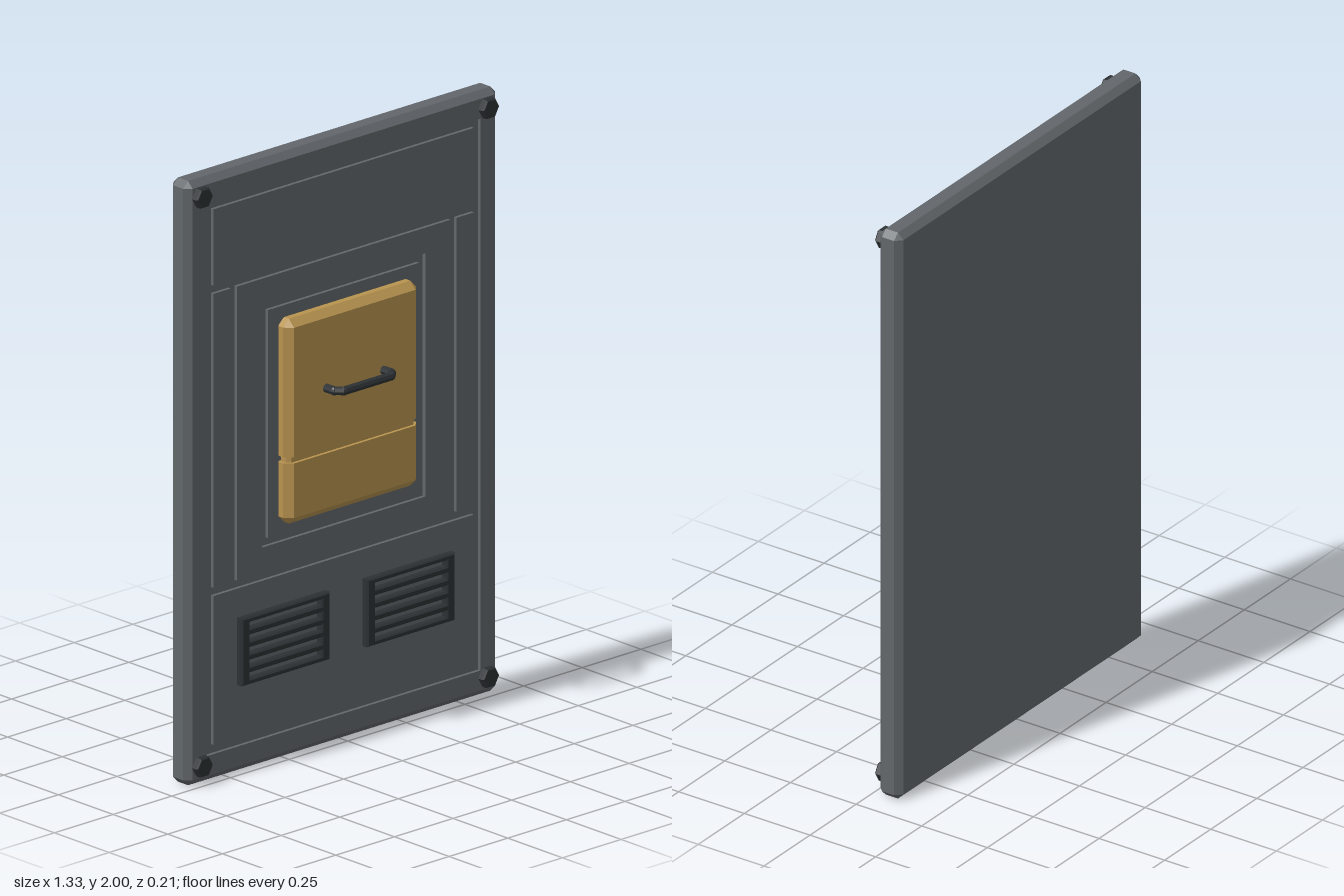
import * as THREE from 'three';

const mat = (color) => new THREE.MeshStandardMaterial({ color, flatShading: true });
const steel = mat(0x62676b), dark = mat(0x2d3134), amber = mat(0xb8934f);
const FRONT = -0.018, FLOOR = -0.03, BACK = -0.106;

function add(parent, name, geometry, material, x = 0, y = 0, z = 0) {
  const mesh = new THREE.Mesh(geometry, material);
  mesh.name = name;
  mesh.position.set(x, y, z);
  parent.add(mesh);
  return mesh;
}

// Closed solid through cut-corner rectangles [halfWidth, halfHeight, cornerCut, z]
function loft(sections) {
  const rings = sections.map(([w, h, c, z]) => [
    [w, -h + c], [w, h - c], [w - c, h], [-w + c, h],
    [-w, h - c], [-w, -h + c], [-w + c, -h], [w - c, -h],
  ].map(([x, y]) => new THREE.Vector3(x, y, z)));
  const pos = [];
  const tri = (a, b, c) => {
    const area = b.clone().sub(a).cross(c.clone().sub(a)).length();
    if (area > 1e-9) for (const p of [a, b, c]) pos.push(p.x, p.y, p.z);
  };
  for (let s = 0; s < rings.length - 1; s++) {
    const A = rings[s], B = rings[s + 1];
    for (let i = 0; i < 8; i++) {
      const j = (i + 1) % 8;
      tri(A[i], A[j], B[j]);
      tri(A[i], B[j], B[i]);
    }
  }
  const first = rings[0], last = rings[rings.length - 1];
  for (let i = 1; i < 7; i++) {
    tri(first[0], first[i + 1], first[i]);
    tri(last[0], last[i], last[i + 1]);
  }
  const g = new THREE.BufferGeometry();
  g.setAttribute('position', new THREE.Float32BufferAttribute(pos, 3));
  g.computeVertexNormals();
  return g;
}

function rectPath(PathType, x0, x1, y0, y1) {
  return new PathType([[x0, y0], [x1, y0], [x1, y1], [x0, y1]].map(([x, y]) => new THREE.Vector2(x, y)));
}

// Flat plate lying on the recessed floor, with an optional rectangular hole
function plate(parent, name, rect, hole) {
  const shape = rectPath(THREE.Shape, ...rect);
  if (hole) shape.holes.push(rectPath(THREE.Path, ...hole));
  const g = new THREE.ExtrudeGeometry(shape, { depth: FRONT - FLOOR, bevelEnabled: false });
  add(parent, name, g, steel, 0, 0, FLOOR);
}

function makeVent() {
  const shape = rectPath(THREE.Shape, -0.188, 0.188, -0.112, 0.112);
  for (let i = -2; i <= 2; i++) {
    const y = i * 0.0417;
    shape.holes.push(rectPath(THREE.Path, -0.152, 0.152, y - 0.01, y + 0.01));
  }
  return new THREE.ExtrudeGeometry(shape, {
    depth: 0.018, bevelThickness: 0.006, bevelSize: 0.005, bevelOffset: -0.005, bevelSegments: 1,
  });
}

function makeHandle() {
  const handle = new THREE.Group();
  handle.name = 'handle';
  const r = 0.0145;
  const pts = [[-0.122, 0.02], [-0.122, 0.07], [-0.1, 0.091], [0.1, 0.091], [0.122, 0.07], [0.122, 0.02]]
    .map(([x, z]) => new THREE.Vector3(x, 1.207, z));
  const up = new THREE.Vector3(0, 1, 0);
  for (let i = 0; i < pts.length - 1; i++) {
    const dir = pts[i + 1].clone().sub(pts[i]);
    const mid = pts[i].clone().add(pts[i + 1]).multiplyScalar(0.5);
    const bar = add(handle, 'handleBar', new THREE.CylinderGeometry(r, r, dir.length(), 8), dark, mid.x, mid.y, mid.z);
    bar.quaternion.setFromUnitVectors(up, dir.normalize());
    if (i > 0) add(handle, 'handleJoint', new THREE.SphereGeometry(r, 8, 6), dark, pts[i].x, pts[i].y, pts[i].z);
  }
  return handle;
}

export function createModel() {
  const model = new THREE.Group();
  model.name = 'wallPanel';

  // Chamfered slab with a recessed field inside its raised border
  const W = 0.665, H = 1, c = 0.021;
  add(model, 'backingFrame', loft([
    [W - c, H - c, 0, BACK],
    [W, H, c, BACK + c],
    [W, H, c, FRONT - c],
    [W - c, H - c, 0, FRONT],
    [0.583, 0.913, 0, FRONT],
    [0.583, 0.913, 0, FLOOR],
  ]), steel, 0, 1, 0);

  // Plates separated by grooves
  plate(model, 'upperPlate', [-0.555, 0.555, 1.637, 1.89]);
  plate(model, 'lowerPlate', [-0.555, 0.555, 0.117, 0.61]);
  plate(model, 'rightStrip', [-0.555, -0.481, 0.637, 1.61]);
  plate(model, 'leftStrip', [0.481, 0.555, 0.637, 1.61]);
  plate(model, 'doorSurround', [-0.455, 0.455, 0.637, 1.61], [-0.348, 0.348, 0.72, 1.525]);
  plate(model, 'doorBacking', [-0.322, 0.322, 0.745, 1.5]);

  // Door, lofted upwards, with a horizontal groove
  const dw = 0.283, dd = 0.035, b = 0.024, g = 0.011;
  const door = loft([
    [dw - b, dd - b, 0, 0.785],
    [dw, dd, b, 0.785 + b],
    [dw, dd, b, 0.99],
    [dw - g, dd - g, b - g, 0.99],
    [dw - g, dd - g, b - g, 1.01],
    [dw, dd, b, 1.01],
    [dw, dd, b, 1.463 - b],
    [dw - b, dd - b, 0, 1.463],
  ]);
  door.rotateX(-Math.PI / 2);
  add(model, 'door', door, amber, 0, 0, -0.002);
  model.add(makeHandle());

  // Vents and corner bolts
  const ventGeo = makeVent();
  const boltGeo = loftBolt();
  for (const s of [-1, 1]) {
    const side = s < 0 ? 'right' : 'left';
    add(model, side + 'Vent', ventGeo, dark, s * 0.267, 0.403, -0.017);
    for (const [row, y] of [['Lower', 0.062], ['Upper', 1.945]])
      add(model, side + row + 'Bolt', boltGeo, dark, s * 0.61, y, -0.007);
  }
  return model;
}

// Hexagonal bolt head with points to the sides and a thin chamfer
function loftBolt() {
  const profile = [[0, -0.014], [0.036, -0.014], [0.036, 0.006], [0.031, 0.011], [0, 0.011]]
    .map(([x, y]) => new THREE.Vector2(x, y));
  const g = new THREE.LatheGeometry(profile, 6, Math.PI / 2);
  g.rotateX(Math.PI / 2);
  return g;
}
